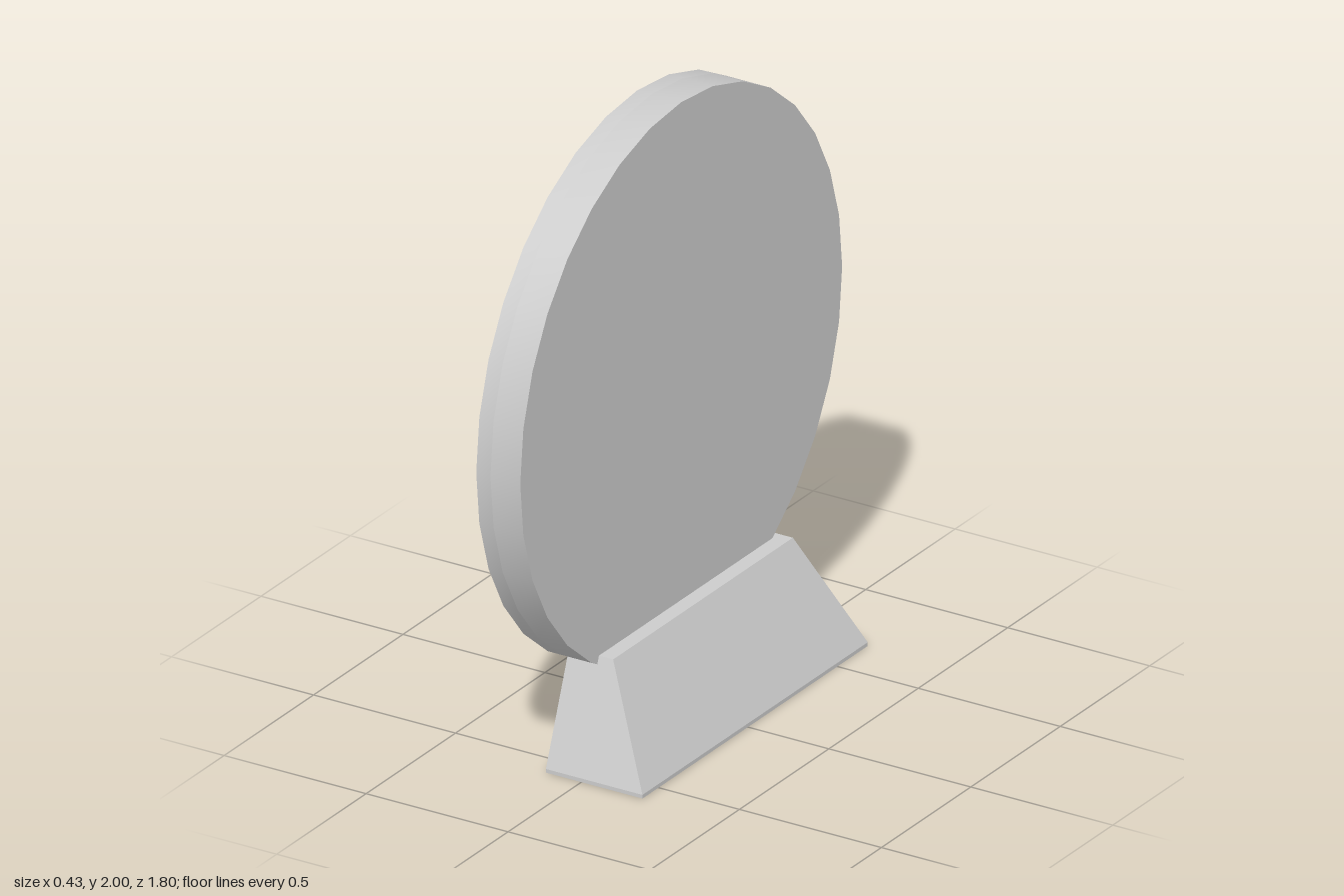
import * as THREE from 'three';
import { toCreasedNormals } from 'three/addons/utils/BufferGeometryUtils.js';
import { ConvexGeometry } from 'three/addons/geometries/ConvexGeometry.js';

const CENTER_Y = 1.1;   // middle of the dial
const PIVOT = -0.287;   // pivot height relative to the dial middle

export function createModel() {
  const group = new THREE.Group();
  const material = new THREE.MeshStandardMaterial({ color: 0xcccccc });

  const add = (name, geometry, y = 0) => {
    const mesh = new THREE.Mesh(geometry, material);
    mesh.name = name;
    mesh.position.y = y;
    group.add(mesh);
  };

  // Extrudes a (z, y) outline along x, from xNear towards -x
  const slab = (shape, xNear, depth) => {
    const g = new THREE.ExtrudeGeometry(shape, { depth, bevelEnabled: false, curveSegments: 16 });
    g.translate(0, 0, -xNear);
    g.rotateY(-Math.PI / 2);
    return toCreasedNormals(g, 0.5);
  };

  const disc = (r) => new THREE.Shape().absarc(0, 0, r, 0, Math.PI * 2, false);

  // Solid plate that forms the floor of the window
  add('dialPlate', slab(disc(0.9), -0.02, 0.105), CENTER_Y);

  // Face plate with a fan-shaped window around the pivot hub
  const face = disc(0.9);
  const window = new THREE.Path();
  const a = 0.187;
  window.moveTo(0.288, PIVOT);
  window.absarc(0, 0, 0.79, a, Math.PI - a, false);
  window.lineTo(-0.288, PIVOT);
  window.lineTo(-0.19, PIVOT);
  window.absarc(0, PIVOT, 0.19, Math.PI, 0, true);
  window.lineTo(0.288, PIVOT);
  face.holes.push(window);
  add('facePlate', slab(face, -0.125, 0.05), CENTER_Y);

  // Pivot knob
  add('pivotKnob', slab(disc(0.085), -0.17, 0.045), CENTER_Y + PIVOT);

  // Tapered foot: upright on the dial side, sloping on the other three
  const levels = [
    { y: 0, x: 0.215, z0: -0.67, z1: 0.59 },
    { y: 0.012, x: 0.215, z0: -0.67, z1: 0.59 },
    { y: 0.36, x: 0.03, z0: -0.545, z1: 0.46 },
  ];
  const corners = [];
  for (const { y, x, z0, z1 } of levels)
    for (const px of [-0.125, x])
      for (const pz of [z0, z1]) corners.push(new THREE.Vector3(px, y, pz));
  add('foot', new ConvexGeometry(corners));

  return group;
}
